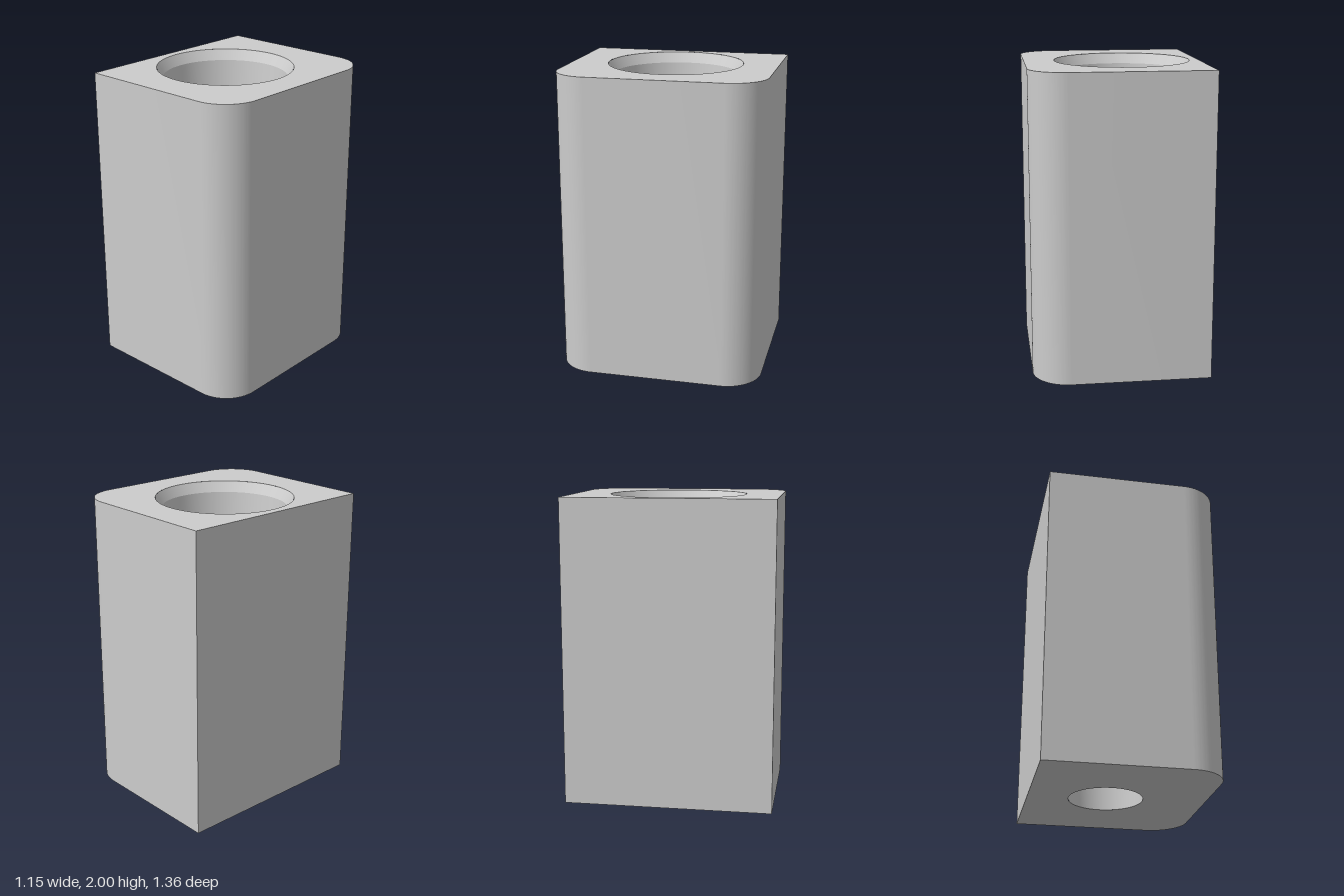
import * as THREE from 'three';
import { toCreasedNormals } from 'three/addons/utils/BufferGeometryUtils.js';

const W = 0.575, D = 0.68, H = 2, R = 0.24;   // half width, half depth, height, corner radius
const BORE_X = -0.072;                        // bore axis offset
const R_RIM = 0.447, R_TOP = 0.408, R_BOTTOM = 0.24, Y_RIM = H - 0.068;
const SEG = 64;

// Footprint: square corners at -x, rounded corners at +x, optional round hole
function footprint(holeRadius) {
  const s = new THREE.Shape();
  s.moveTo(-W, -D);
  s.lineTo(W - R, -D);
  s.absarc(W - R, -D + R, R, -Math.PI / 2, 0, false);
  s.lineTo(W, D - R);
  s.absarc(W - R, D - R, R, 0, Math.PI / 2, false);
  s.lineTo(-W, D);
  s.closePath();
  if (holeRadius) {
    s.holes.push(new THREE.Path().absarc(BORE_X, 0, holeRadius, 0, Math.PI * 2, true));
  }
  return s;
}

export function createModel() {
  const group = new THREE.Group();
  group.name = 'boredBlock';
  const grey = new THREE.MeshStandardMaterial({ color: 0xcccccc });
  grey.name = 'light grey';

  const add = (name, geometry) => {
    const mesh = new THREE.Mesh(geometry, grey);
    mesh.name = name;
    group.add(mesh);
    return mesh;
  };

  // Outer walls: only the side faces of the extruded footprint
  const block = new THREE.ExtrudeGeometry(footprint(), { depth: H, bevelEnabled: false, curveSegments: 24 });
  const sides = block.groups[1];
  const walls = new THREE.BufferGeometry();
  const positions = block.attributes.position.array.slice(sides.start * 3, (sides.start + sides.count) * 3);
  walls.setAttribute('position', new THREE.BufferAttribute(positions, 3));
  walls.rotateX(-Math.PI / 2);
  add('outerWalls', toCreasedNormals(walls, Math.PI / 6));

  // End faces with the bore openings
  add('topFace', new THREE.ShapeGeometry(footprint(R_RIM), SEG).rotateX(-Math.PI / 2)).position.y = H;
  add('bottomFace', new THREE.ShapeGeometry(footprint(R_BOTTOM), SEG).rotateX(Math.PI / 2));

  // Bore surfaces, profiled downwards so they face the axis
  const ring = (name, r1, y1, r2, y2) => {
    const profile = [new THREE.Vector2(r1, y1), new THREE.Vector2(r2, y2)];
    add(name, new THREE.LatheGeometry(profile, SEG)).position.x = BORE_X;
  };
  ring('rimChamfer', R_RIM, H, R_TOP, Y_RIM);
  ring('taperedBore', R_TOP, Y_RIM, R_BOTTOM, 0);

  return group;
}
